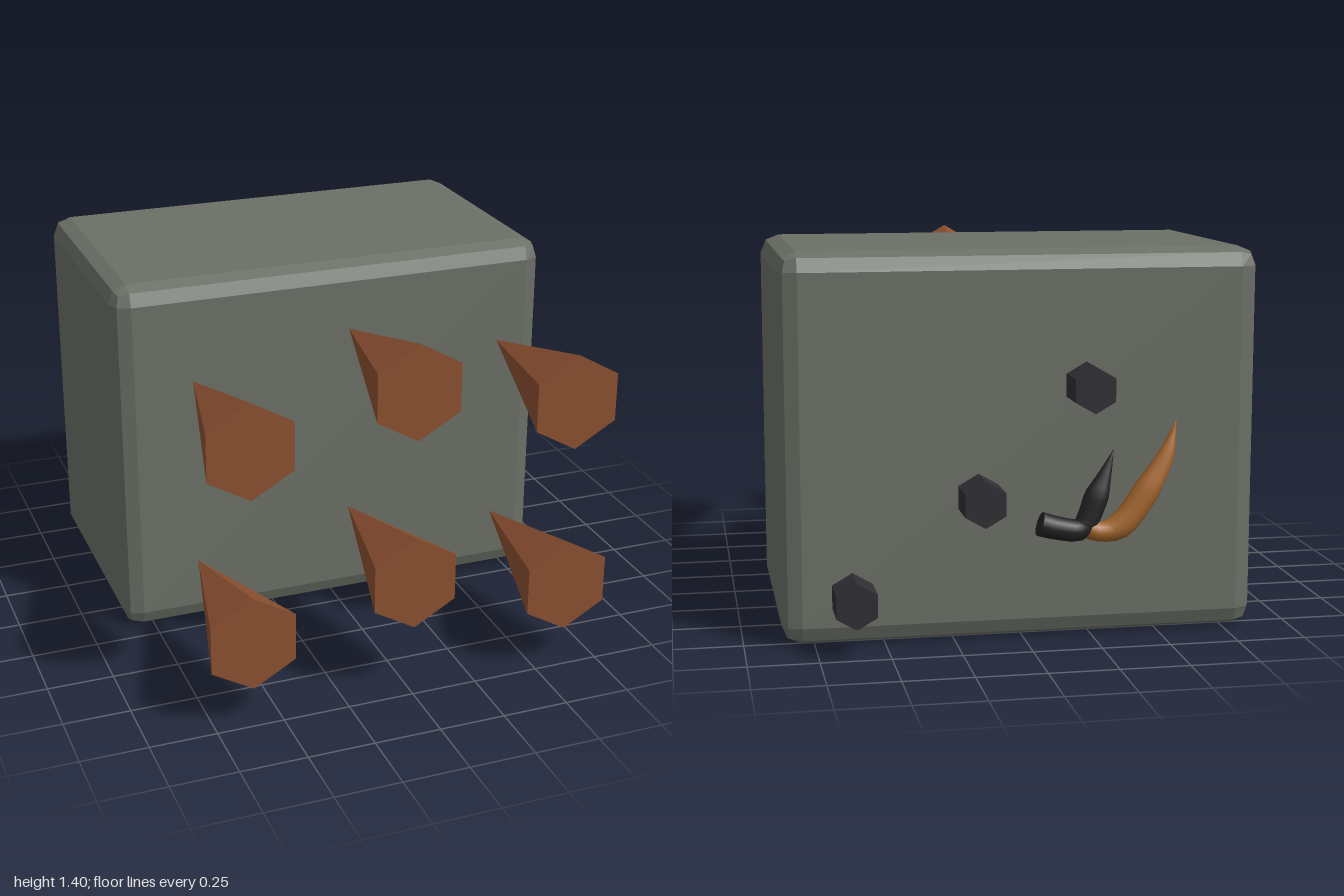
import * as THREE from 'three';
import { RoundedBoxGeometry } from 'three/addons/geometries/RoundedBoxGeometry.js';
import { toCreasedNormals } from 'three/addons/utils/BufferGeometryUtils.js';

const paint = (color, flatShading = true) => new THREE.MeshStandardMaterial({ color, flatShading });

function part(name, geometry, material, x = 0, y = 0, z = 0) {
  const mesh = new THREE.Mesh(geometry, material);
  mesh.name = name;
  mesh.position.set(x, y, z);
  return mesh;
}

// Tube through points [x, y, z, radius]; the first ring closes the thick end.
function hornGeometry(points, steps = 20, sides = 10) {
  const path = new THREE.CatmullRomCurve3(points.map(([x, y, z]) => new THREE.Vector3(x, y, z)));
  const geometry = new THREE.TubeGeometry(path, steps, 1, sides);
  const pos = geometry.attributes.position;
  const v = new THREE.Vector3();
  for (let i = 0; i <= steps; i++) {
    const centre = path.getPointAt(i / steps);
    const t = path.getUtoTmapping(i / steps) * (points.length - 1);
    const k = Math.min(Math.floor(t), points.length - 2);
    const radius = THREE.MathUtils.lerp(points[k][3], points[k + 1][3], t - k);
    const capCentre = path.getPointAt(1 / steps);
    for (let j = 0; j <= sides; j++) {
      const n = i * (sides + 1) + j;
      v.fromBufferAttribute(pos, n).sub(centre).multiplyScalar(radius).add(centre);
      if (i === 0) v.copy(capCentre);
      pos.setXYZ(n, v.x, v.y, v.z);
    }
  }
  return toCreasedNormals(geometry, 0.9);
}

export function createModel() {
  const model = new THREE.Group();
  model.name = 'spikedBlock';

  // Body with two-step rounded edges
  model.add(part('body', new RoundedBoxGeometry(1.73, 1.4, 1.02, 1, 0.07), paint(0x6b6f66), 0, 0.7, -0.31));

  // Six floating spikes with their points toward the body
  const spike = new THREE.ConeGeometry(0.18, 0.665, 6).rotateX(-Math.PI / 2);
  const spikeMaterial = paint(0x8b5030);
  for (const rowY of [0.335, 1.07]) {
    for (const x of [-0.61, 0, 0.61]) {
      model.add(part('spike', spike, spikeMaterial, x, rowY + (x === 0 ? 0.125 : 0), 0.6675));
    }
  }

  // Three hexagonal studs behind the body
  const stud = new THREE.CylinderGeometry(0.083, 0.083, 0.15, 6).rotateX(-Math.PI / 2);
  const studMaterial = paint(0x2e2e33);
  for (const [x, y, z] of [[-0.225, 0.918, -0.893], [0.168, 0.53, -0.915], [0.62, 0.192, -0.925]]) {
    model.add(part('stud', stud, studMaterial, x, y, z));
  }

  // Two curved horns against the back
  model.add(part('darkHorn', hornGeometry([
    [-0.025, 0.437, -0.872, 0.045], [-0.12, 0.41, -0.87, 0.042], [-0.2, 0.405, -0.865, 0.04],
    [-0.26, 0.52, -0.85, 0.045], [-0.327, 0.685, -0.83, 0],
  ]), paint(0x222222, false)));
  model.add(part('amberHorn', hornGeometry([
    [-0.2, 0.41, -0.865, 0.036], [-0.28, 0.39, -0.865, 0.036], [-0.345, 0.41, -0.86, 0.048],
    [-0.445, 0.535, -0.848, 0.048], [-0.52, 0.66, -0.83, 0.03], [-0.56, 0.785, -0.818, 0],
  ]), paint(0xa4652c, false)));

  return model;
}
